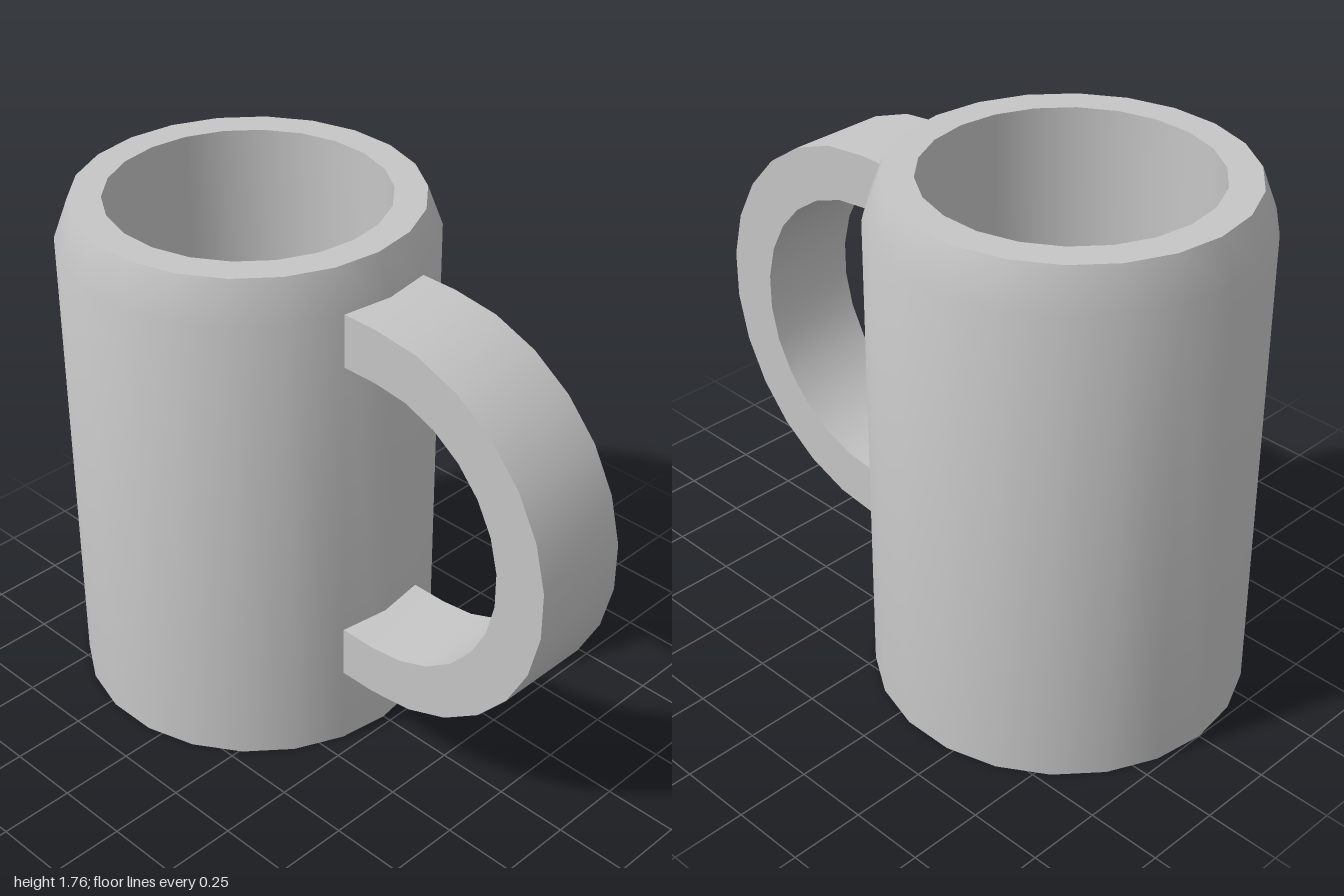
import * as THREE from 'three';
import { toCreasedNormals } from 'three/addons/utils/BufferGeometryUtils.js';

const BODY_Z = -0.39; // the cup sits behind the origin, the handle in front

export function createModel() {
  const model = new THREE.Group();
  model.name = 'mug';
  const grey = new THREE.MeshStandardMaterial({ color: 0xc6c6c6 });
  grey.name = 'grey';

  const addPart = (name, geometry) => {
    const mesh = new THREE.Mesh(toCreasedNormals(geometry, THREE.MathUtils.degToRad(35)), grey);
    mesh.name = name;
    model.add(mesh);
    return mesh;
  };

  // Cup: base, outer wall, tapered shoulder, rim, inner wall and floor
  const profile = [
    [0, 0], [0.61, 0], [0.61, 1.63], [0.56, 1.765],
    [0.455, 1.765], [0.455, 0.15], [0, 0.15],
  ].map(([r, y]) => new THREE.Vector2(r, y));
  addPart('cup', new THREE.LatheGeometry(profile, 22)).position.z = BODY_Z;

  // Handle: a flat half ring with short straight ends, drawn in side view
  const centreZ = 0.325, centreY = 0.955, endZ = 0.195, segments = 13, width = 0.34;
  const arc = (radius) => Array.from({ length: segments + 1 }, (_, i) => {
    const a = -Math.PI / 2 + (i / segments) * Math.PI;
    return new THREE.Vector2(centreZ + radius * Math.cos(a), centreY + radius * Math.sin(a));
  });
  const outer = 0.677, inner = 0.497;
  const end = (offset) => new THREE.Vector2(endZ, centreY + offset);
  const outline = new THREE.Shape([
    end(-outer), ...arc(outer), end(outer),
    end(inner), ...arc(inner).reverse(), end(-inner),
  ]);
  const handle = new THREE.ExtrudeGeometry(outline, { depth: width, bevelEnabled: false });
  handle.translate(0, 0, -width / 2).rotateY(-Math.PI / 2);
  addPart('handle', handle);

  return model;
}
